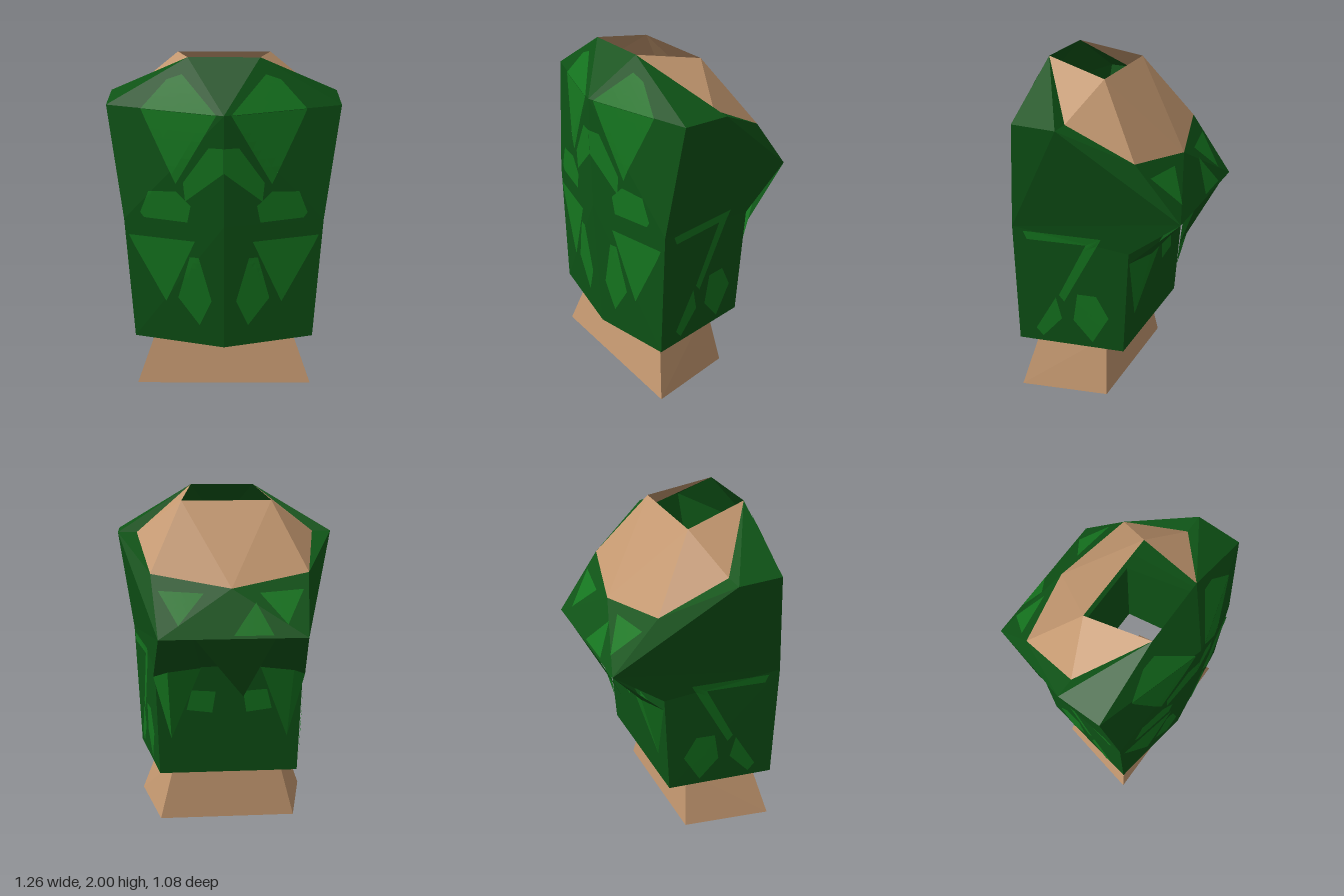
import * as THREE from 'three';

const mat = (color) => new THREE.MeshStandardMaterial({ color, flatShading: true, side: THREE.DoubleSide });
const green = mat(0x0e5316), leafGreen = mat(0x15761f), tan = mat(0xc49870);

// Flat-shaded mesh from named corners; each face is fanned from its first corner
function facets(name, points, faces, material) {
  const pos = [];
  for (const face of faces) {
    const c = face.split(' ').map((k) => points[k]);
    for (let i = 1; i < c.length - 1; i++) pos.push(...c[0], ...c[i], ...c[i + 1]);
  }
  return soup(name, pos, material);
}

function soup(name, pos, material) {
  const g = new THREE.BufferGeometry();
  g.setAttribute('position', new THREE.Float32BufferAttribute(pos, 3));
  g.computeVertexNormals();
  const mesh = new THREE.Mesh(g, material);
  mesh.name = name;
  return mesh;
}

// Adds the x-mirrored partner of every corner (prefix -) and of every paired face,
// keeping the fan corner so both halves fold alike
function mirrored(points, paired, central) {
  const all = { ...points };
  for (const k in points) all['-' + k] = [-points[k][0], points[k][1], points[k][2]];
  const other = paired.map((f) => {
    const [first, ...rest] = f.split(' ').map((k) => '-' + k);
    return [first, ...rest.reverse()].join(' ');
  });
  return [all, [...paired, ...other, ...central]];
}

// Directions from which flat patches are laid on the shell: origin, ray
const sides = {
  front: [(a, b) => [a, b, 2], [0, 0, -1]],
  back: [(a, b) => [a, b, -2], [0, 0, 1]],
  side: [(a, b) => [2, b, a], [-1, 0, 0]],
  top: [(a, b) => [a, 3, b], [0, -1, 0]],
};

// Drapes a 2D outline over the shell, just above its surface
function patch(name, shell, sideName, outline, lift = 0.007) {
  const [origin, d] = sides[sideName];
  const dir = new THREE.Vector3(...d), ray = new THREE.Raycaster();
  const pts = outline.map((p) => new THREE.Vector2(...p));
  const pos = [];
  const drop = (p) => {
    ray.set(new THREE.Vector3(...origin(p.x, p.y)), dir);
    const hit = ray.intersectObject(shell)[0];
    return hit ? hit.point.addScaledVector(dir, -lift) : null;
  };
  const split = (a, b, c, depth) => {
    if (depth === 0) {
      const t = [a, b, c].map(drop);
      if (t.every(Boolean)) t.forEach((v) => pos.push(v.x, v.y, v.z));
      return;
    }
    const ab = a.clone().lerp(b, 0.5), bc = b.clone().lerp(c, 0.5), ca = c.clone().lerp(a, 0.5);
    split(a, ab, ca, depth - 1);
    split(ab, b, bc, depth - 1);
    split(ca, bc, c, depth - 1);
    split(ab, bc, ca, depth - 1);
  };
  for (const [i, j, k] of THREE.ShapeUtils.triangulateShape(pts, [])) split(pts[i], pts[j], pts[k], 3);
  return soup(name, pos, leafGreen);
}

export function createModel() {
  const model = new THREE.Group();
  model.name = 'leafTorso';
  const addPair = (mesh) => {
    const twin = mesh.clone();
    twin.scale.x = -1;
    mesh.name += 'Left';
    twin.name += 'Right';
    model.add(mesh, twin);
  };

  // Faceted green shell: pointed chest, square shoulders, overhanging upper back
  const s = {
    collar: [0.19, 2, 0.35], neck: [0.52, 1.74, 0.09], nape: [0.445, 1.55, -0.28], spine: [0, 1.48, -0.39],
    shoulder: [0.63, 1.74, 0.35], shoulderBack: [0.63, 1.74, 0.09],
    chest: [0, 1.74, 0.535], belly: [0, 1.1, 0.535], hemMid: [0, 0.3, 0.5],
    waist: [0.555, 1.1, 0.425], hem: [0.52, 0.34, 0.43],
    peak: [0.41, 1.23, -0.535], back: [0.43, 1, -0.24], hemBack: [0.41, 0.34, -0.2],
  };
  const shell = facets('shell', ...mirrored(s, [
    'collar shoulder shoulderBack neck',
    'collar chest shoulder',
    'chest belly waist shoulder',
    'belly hemMid hem waist',
    'waist hem hemBack back peak shoulderBack shoulder',
    'shoulderBack peak nape neck',
    'peak spine nape',
  ], [
    'collar -collar chest',
    'peak -peak spine',
    'peak back -back -peak',
    'back hemBack -hemBack -back',
  ]), green);
  model.add(shell);

  // Open neck rising behind the collar
  const n = { collar: s.collar, neck: s.neck, nape: s.nape, spine: s.spine, rim: [0.26, 1.93, -0.02] };
  model.add(facets('neck', ...mirrored(n,
    ['rim collar neck nape'], ['spine -nape -rim rim nape']), tan));

  // Flared open waist below the hem
  const w = {
    front: [0.52, 0, 0.43], back: [0.41, 0, -0.09],
    frontTop: [0.395, 0.35, 0.352], backTop: [0.32, 0.35, -0.05],
  };
  model.add(facets('waist', ...mirrored(w, ['front back backTop frontTop'],
    ['-front front frontTop -frontTop', 'back -back -backTop backTop']), tan));

  // Leaves lying on the shell, one of each pair
  const leaves = [
    ['upperChestLeaf', 'front', [[0.04, 1.741], [0.22, 1.92], [0.3, 1.89], [0.44, 1.741]]],
    ['chestLeaf', 'front', [[0.04, 1.739], [0.44, 1.739], [0.42, 1.69], [0.26, 1.34]]],
    ['breastArch', 'front', [[0.001, 1.56], [0.08, 1.56], [0.22, 1.35], [0.21, 1.24], [0.001, 1.42]]],
    ['ribLeaf', 'front', [[0.18, 1.22], [0.26, 1.3], [0.41, 1.29], [0.46, 1.16], [0.44, 1.13], [0.2, 1.12]], 0.018],
    ['bellyLeaf', 'front', [[0.16, 1], [0.53, 1.01], [0.5, 0.94], [0.33, 0.6]]],
    ['hipLeaf', 'front', [[0.14, 0.9], [0.19, 0.9], [0.26, 0.63], [0.14, 0.45], [0.07, 0.62]]],
    ['sideBand', 'side', [[0.36, 1.08], [-0.09, 1.08], [0.14, 0.64], [0.17, 0.68], [0, 1.03], [0.34, 1.03]]],
    ['sideLeaf', 'side', [[0.06, 0.7], [-0.05, 0.7], [-0.12, 0.56], [-0.02, 0.38], [0.09, 0.52]]],
    ['sideSliver', 'side', [[0.19, 0.66], [0.16, 0.52], [0.28, 0.38], [0.32, 0.43]]],
    ['upperBackLeaf', 'top', [[0.3, -0.5], [0.405, -0.355], [0.155, -0.395]]],
    ['lowerBackLeaf', 'back', [[0.08, 0.85], [0.22, 0.86], [0.25, 0.74], [0.1, 0.72]]],
  ];
  for (const [name, side, outline, lift] of leaves) addPair(patch(name, shell, side, outline, lift));
  model.add(patch('spineLeaf', shell, 'top', [[-0.22, -0.53], [0, -0.53], [-0.13, -0.435]]));

  // Leaves hanging from the overhang of the back, dark stem above a light blade
  const h = {
    peak: s.peak, edge: [0.22, 1.23, -0.535],
    a: [0.44, 0.95, -0.25], b: [0.36, 1, -0.35], c: [0.17, 1.02, -0.34], tip: [0.34, 0.57, -0.24],
  };
  addPair(facets('hangingStem', h, ['peak a b', 'peak b c edge'], green));
  addPair(facets('hangingLeaf', h, ['a tip b', 'b tip c'], leafGreen));
  const m = { a: [0.21, 1.23, -0.535], b: [-0.23, 1.23, -0.535], tip: [-0.07, 0.85, -0.35] };
  model.add(facets('hangingSpike', m, ['a tip b'], green));

  return model;
}
